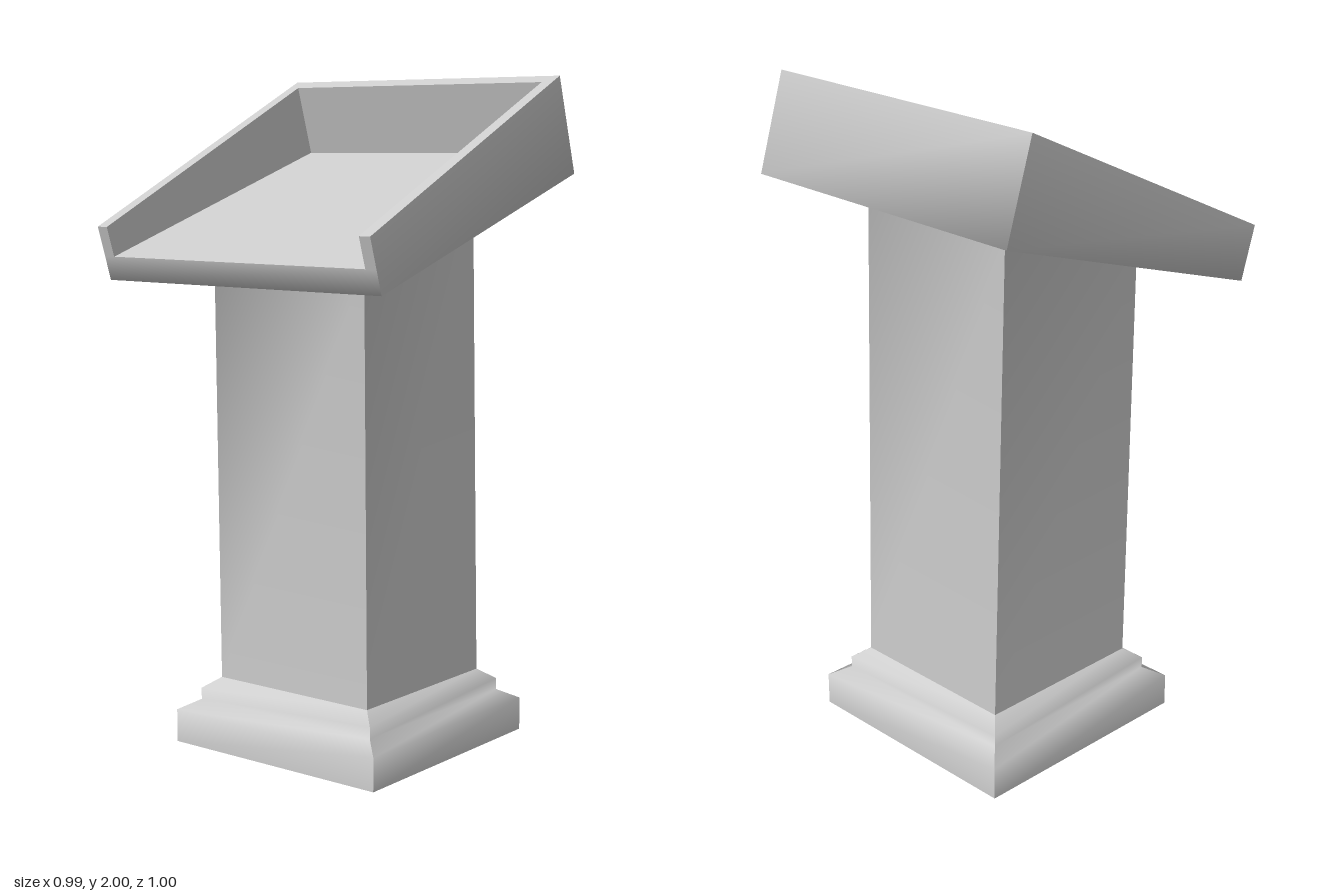
import * as THREE from 'three';

const grey = new THREE.MeshStandardMaterial({ color: 0xcccccc });

function makeMesh(name, positions, indices) {
  const geometry = new THREE.BufferGeometry();
  geometry.setAttribute('position', new THREE.Float32BufferAttribute(positions, 3));
  geometry.setIndex(indices);
  geometry.computeVertexNormals();
  const mesh = new THREE.Mesh(geometry, grey);
  mesh.name = name;
  return mesh;
}

// Rectangular loop: front-left, front-right, back-right, back-left as drawn; front and back are [z, y]
const ring = (halfX, [zf, yf], [zb, yb]) =>
  [[-halfX, yf, zf], [halfX, yf, zf], [halfX, yb, zb], [-halfX, yb, zb]];

// One side of a stack of loops: smooth along the profile, sharp at the mitred corners
function sideStrip(name, rings, side) {
  const positions = [], indices = [];
  rings.forEach((r, i) => {
    positions.push(...r[side], ...r[(side + 1) % 4]);
    if (i > 0) {
      const a = 2 * (i - 1);
      indices.push(a, a + 1, a + 3, a, a + 3, a + 2);
    }
  });
  return makeMesh(name, positions, indices);
}

// Flat four-cornered panel, corners counter-clockwise from its front
const panel = (name, corners) => makeMesh(name, corners.flat(), [0, 1, 2, 0, 2, 3]);

export function createModel() {
  const model = new THREE.Group();
  model.name = 'lectern';
  const sides = ['front', 'left', 'back', 'right'];

  // Stepped plinth
  const base = new THREE.Group();
  base.name = 'base';
  const midZ = -0.055;
  const baseRings = [[0.375, 0], [0.375, 0.1], [0.322, 0.13], [0.322, 0.165], [0.278, 0.197]]
    .map(([h, y]) => ring(h, [midZ + h, y], [midZ - h, y]));
  sides.forEach((s, i) => base.add(sideStrip(s + 'Base', baseRings, i)));
  base.add(panel('baseBottom', [...baseRings[0]].reverse()));
  model.add(base);

  // Desk measurements as [z, y] points of the side profile
  const outer = 0.497, inner = 0.46;
  const lipFront = [0.472, 1.478], rimFront = [0.5, 1.565], rimBack = [-0.41, 2];
  const innerRimBack = [-0.37, 1.981], floorBack = [-0.435, 1.775];

  // Column running on into the underside and outer walls of the desk
  const shell = new THREE.Group();
  shell.name = 'columnAndDeskShell';
  const lower = [
    ring(0.278, [0.223, 0.197], [-0.333, 0.197]),
    ring(0.278, [0.24, 1.477], [-0.29, 1.648]),
    ring(outer, [0.45, 1.408], [-0.5, 1.715]),
  ];
  sides.forEach((s, i) => {
    const top = ring(outer, i === 0 ? lipFront : rimFront, rimBack);
    shell.add(sideStrip(s + 'Shell', [...lower, top], i));
  });
  model.add(shell);

  // Reading surface, back wall and rim
  const desk = new THREE.Group();
  desk.name = 'desk';
  const at = (x, [z, y]) => [x, y, z];
  desk.add(
    panel('readingSurface', ring(inner, lipFront, floorBack)),
    panel('innerBackWall', [at(-inner, floorBack), at(inner, floorBack), at(inner, innerRimBack), at(-inner, innerRimBack)]),
    panel('backRim', [at(-inner, innerRimBack), at(inner, innerRimBack), at(outer, rimBack), at(-outer, rimBack)]),
  );

  // Side walls, mirrored
  for (const s of [1, -1]) {
    const name = s > 0 ? 'left' : 'right';
    const add = (part, corners) => {
      const c = corners.map(([x, p]) => at(s * x, p));
      desk.add(panel(name + part, s > 0 ? c : c.reverse()));
    };
    add('InnerWall', [[inner, floorBack], [inner, lipFront], [inner, rimFront], [inner, innerRimBack]]);
    add('Rim', [[inner, rimFront], [outer, rimFront], [outer, rimBack], [inner, innerRimBack]]);
    add('WallEnd', [[inner, lipFront], [outer, lipFront], [outer, rimFront], [inner, rimFront]]);
  }
  model.add(desk);

  return model;
}
